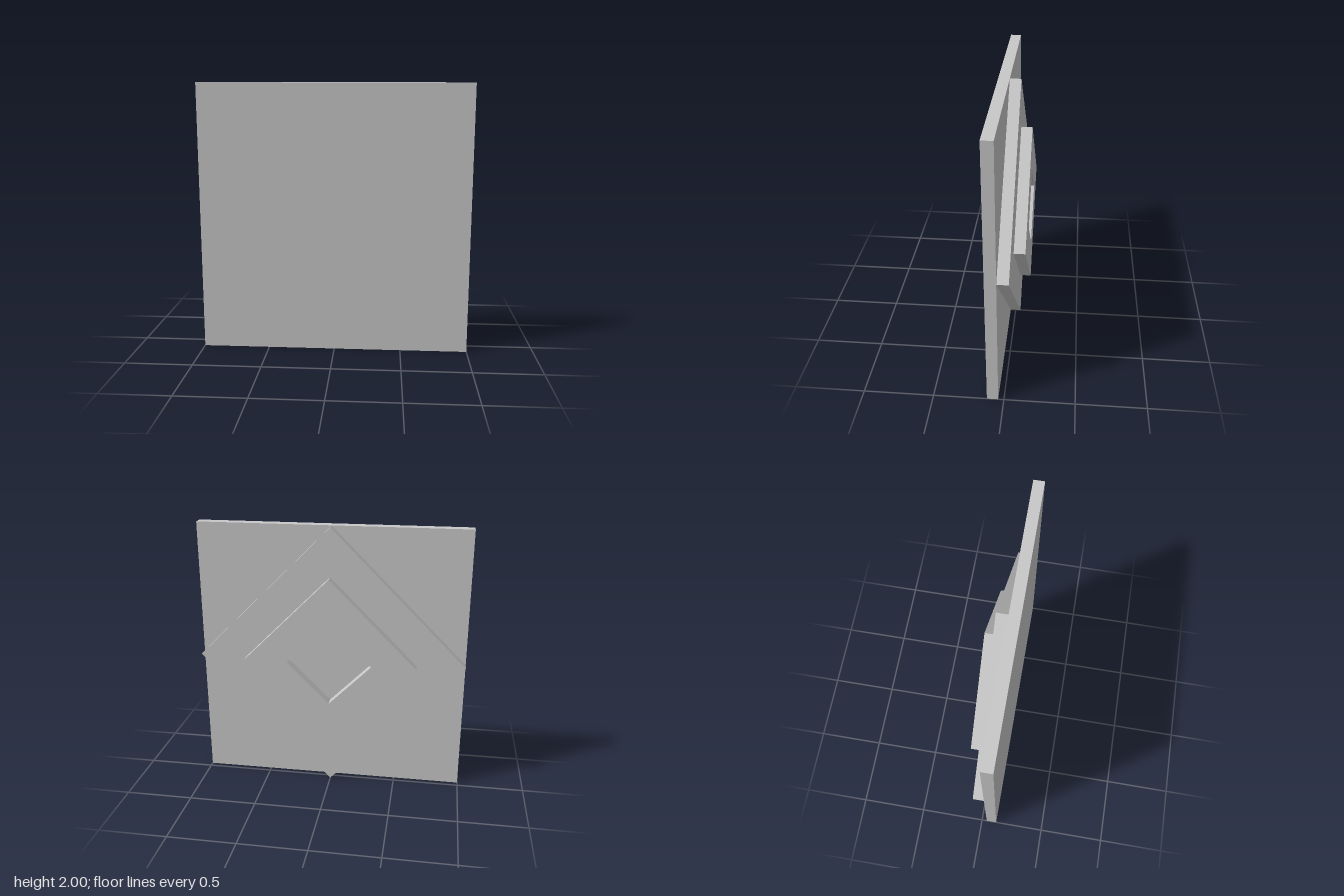
import * as THREE from 'three';

const THICK = 0.08;

// square turned onto its corner, r = centre to corner
function diamond(Type, r) {
  return new Type([
    new THREE.Vector2(r, 0), new THREE.Vector2(0, r),
    new THREE.Vector2(-r, 0), new THREE.Vector2(0, -r),
  ]);
}

export function createModel() {
  const group = new THREE.Group();
  group.name = 'steppedPanel';
  const grey = new THREE.MeshStandardMaterial({ color: 0xc8c8c8 });
  grey.name = 'lightGrey';

  function add(name, geometry, z) {
    const mesh = new THREE.Mesh(geometry, grey);
    mesh.name = name;
    mesh.position.set(0, 1, z);
    group.add(mesh);
  }
  const slab = (shape) => new THREE.ExtrudeGeometry(shape, { depth: THICK, bevelEnabled: false });

  // square front panel
  add('frontPanel', new THREE.BoxGeometry(2, 2, THICK), 0.08);

  // large diamond reaching the panel's edge midpoints
  add('largeDiamond', slab(diamond(THREE.Shape, 1)), -0.04);

  // smaller diamond frame with an open centre
  const frame = diamond(THREE.Shape, 0.645);
  frame.holes.push(diamond(THREE.Path, 0.315));
  add('diamondFrame', slab(frame), -0.12);

  return group;
}
